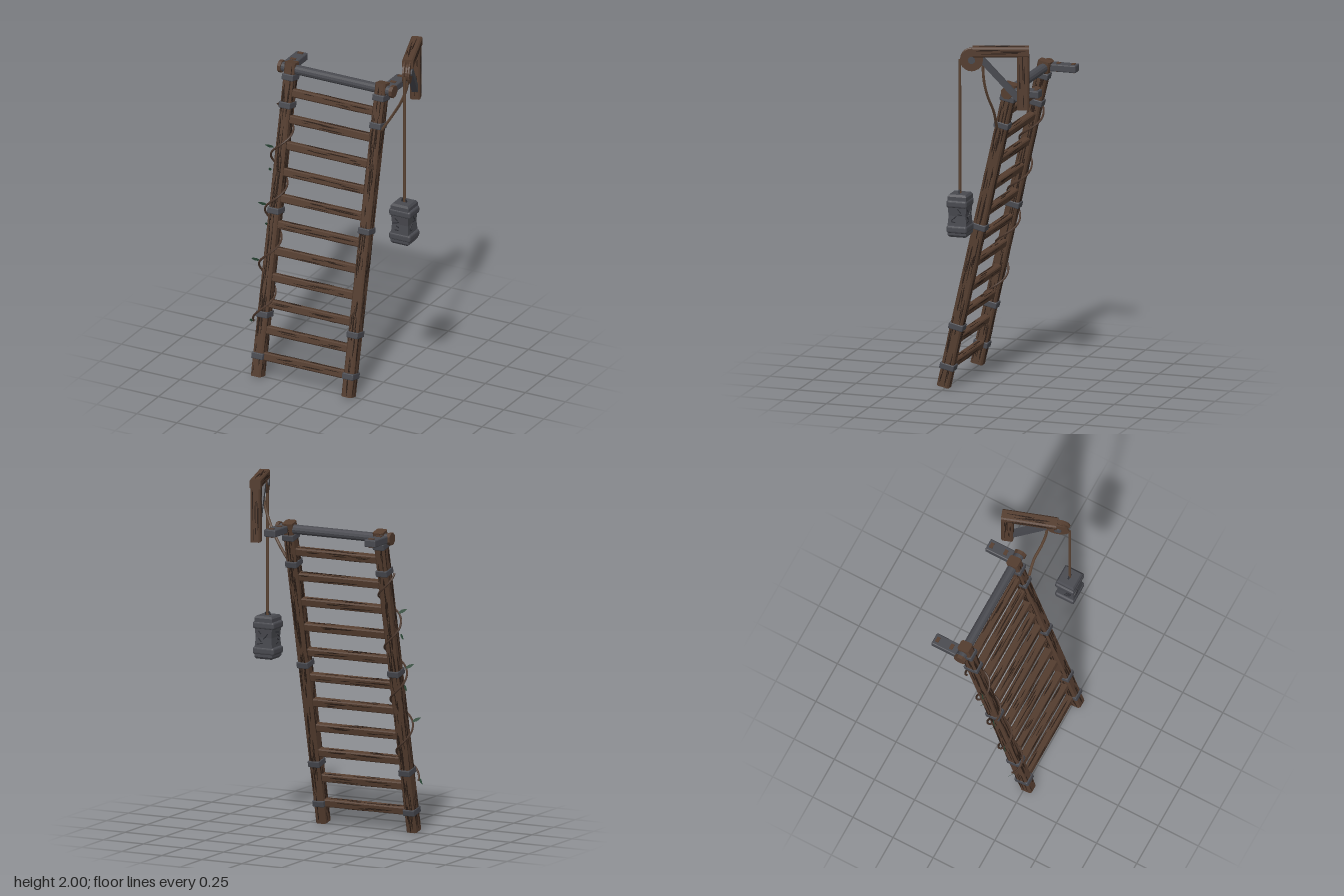
import * as THREE from 'three';
import { mergeGeometries } from 'three/addons/utils/BufferGeometryUtils.js';
import { RoundedBoxGeometry } from 'three/addons/geometries/RoundedBoxGeometry.js';

const mat = (name, color, extra = {}) => {
  const m = new THREE.MeshStandardMaterial({ color, flatShading: true, ...extra });
  m.name = name;
  return m;
};

export function createModel() {
  const wood = mat('wood', 0x543d2f);
  const grainMat = mat('dark grain', 0x2a1d16);
  const iron = mat('iron', 0x48494f);
  const darkIron = mat('dark iron', 0x2b2c31);
  const rope = mat('rope', 0x5a4333);
  const vineMat = mat('vine stem', 0x49352a);
  const leafMat = mat('leaf', 0x2c4a38, { side: THREE.DoubleSide });

  let seed = 7;
  const rnd = () => (seed = (seed * 16807) % 2147483647) / 2147483647;
  const root = new THREE.Group();
  root.name = 'ladderWithHoist';

  const add = (parent, name, geo, material, x = 0, y = 0, z = 0) => {
    const m = new THREE.Mesh(geo, material);
    m.name = name;
    m.position.set(x, y, z);
    parent.add(m);
    return m;
  };

  // Chamfered beam along y, with thin grain streaks on its four long faces
  function beam(parent, name, w, l, d, base, streak, n, x, y, z) {
    const g = new THREE.Group();
    g.name = name;
    g.position.set(x, y, z);
    const c = Math.min(w, d) * 0.14, a = w / 2, b = d / 2;
    const pts = [[a - c, -b], [a, c - b], [a, b - c], [a - c, b], [c - a, b], [-a, b - c], [-a, c - b], [c - a, -b]];
    const body = new THREE.ExtrudeGeometry(new THREE.Shape(pts.map(p => new THREE.Vector2(...p))), { depth: l, bevelEnabled: false });
    body.translate(0, 0, -l / 2).rotateX(-Math.PI / 2);
    add(g, name + 'Body', body, base);
    const marks = [];
    for (let f = 0; f < 4; f++) for (let i = 0; i < n; i++) {
      const across = f % 2 ? d : w, out = f % 2 ? w : d;
      const len = Math.min(l * 0.45, 0.04 + rnd() * 0.14), t = 0.003 + rnd() * 0.005;
      const s = new THREE.CylinderGeometry(0.5, 0.5, 0.003, 6);
      s.rotateX(Math.PI / 2).scale(t, len, 1);
      s.translate((rnd() - 0.5) * (across - 2 * c - t), (rnd() - 0.5) * (l - len), out / 2);
      marks.push(s.rotateY(f * Math.PI / 2));
    }
    if (n) add(g, name + 'Grain', mergeGeometries(marks), streak);
    parent.add(g);
    return g;
  }

  // Leaning ladder, built upright and tilted back
  const tilt = Math.atan(0.227), cosT = Math.cos(tilt);
  const ladder = new THREE.Group();
  ladder.name = 'ladder';
  ladder.position.set(0, 0.008, 0.265);
  ladder.rotation.x = -tilt;
  root.add(ladder);
  const L = 1.785;
  for (const [side, x] of [['right', -0.39], ['left', 0.175]]) {
    beam(ladder, side + 'Rail', 0.062, L, 0.07, wood, grainMat, 60, x, L / 2, 0);
    for (const y of [0.115, 0.345, 0.92, 1.505, 1.66])
      add(ladder, side + 'RailBand', new RoundedBoxGeometry(0.07, 0.036, 0.085, 1, 0.005), iron, x, y / cosT, 0);
  }
  for (let i = 0; i < 11; i++)
    beam(ladder, 'rung', 0.045, 0.51, 0.042, wood, grainMat, 5, -0.1075, (0.115 + i * 0.146) / cosT, 0).rotation.z = Math.PI / 2;

  // Top axle with wooden end caps
  add(root, 'axle', new THREE.CylinderGeometry(0.027, 0.027, 0.69, 12).rotateZ(Math.PI / 2), iron, -0.107, 1.71, -0.125);
  for (const x of [-0.455, 0.241])
    add(root, 'axleCap', new THREE.CylinderGeometry(0.036, 0.036, 0.02, 8).rotateZ(Math.PI / 2).rotateX(Math.PI / 8), wood, x, 1.71, -0.125);

  // Wall brackets with pegs
  for (const x of [-0.42, 0.205]) {
    add(root, 'wallBracket', new RoundedBoxGeometry(0.07, 0.042, 0.15, 1, 0.006), iron, x, 1.71, -0.23);
    for (const z of [-0.282, -0.195])
      add(root, 'bracketPeg', new THREE.BoxGeometry(0.032, 0.05, 0.02), wood, x, 1.71, z);
  }

  // Hoist arm: post, top beam, brace and pulley
  const hoist = new THREE.Group();
  hoist.name = 'hoist';
  hoist.position.set(0.32, 0, -0.245);
  hoist.rotation.y = 0.33;
  root.add(hoist);
  beam(hoist, 'hoistPost', 0.055, 0.34, 0.066, wood, grainMat, 8, 0, 1.815, 0);
  beam(hoist, 'hoistBeam', 0.062, 0.31, 0.056, wood, grainMat, 8, 0, 1.971, 0.122).rotation.x = Math.PI / 2;
  const brace = add(hoist, 'hoistBrace', new THREE.BoxGeometry(0.034, 0.3, 0.034), iron, 0, 1.815, 0.125);
  brace.rotation.x = Math.atan2(0.19, 0.21);
  const wheel = [[0, -0.02], [0.063, -0.02], [0.063, -0.011], [0.05, -0.005], [0.05, 0.005], [0.063, 0.011], [0.063, 0.02], [0, 0.02]];
  add(hoist, 'pulleyWheel', new THREE.LatheGeometry(wheel.map(p => new THREE.Vector2(...p)), 20).rotateZ(Math.PI / 2), wood, 0, 1.927, 0.283);
  add(hoist, 'pulleyHub', new THREE.CylinderGeometry(0.02, 0.02, 0.056, 10).rotateZ(Math.PI / 2), iron, 0, 1.927, 0.283);

  const tube = (parent, name, pts, r, material, n) => add(parent, name,
    new THREE.TubeGeometry(new THREE.CatmullRomCurve3(pts.map(p => new THREE.Vector3(...p))), n, r, 6), material);

  // Rope hanging from the pulley, and its tail tied to the rail
  tube(root, 'hangingRope', [[0.427, 1.15, 0.085], [0.427, 1.5, 0.085], [0.428, 1.93, 0.085]], 0.008, rope, 8);
  tube(root, 'tailRope', [[0.395, 1.93, -0.035], [0.375, 1.8, -0.037], [0.34, 1.71, -0.045], [0.28, 1.61, -0.06], [0.21, 1.5, -0.055]], 0.008, rope, 20);

  // Counterweight: waisted block with two heavy rims
  const weight = new THREE.Group();
  weight.name = 'counterweight';
  weight.position.set(0.425, 1.05, 0.085);
  root.add(weight);
  const block = new THREE.LatheGeometry([[0, -0.12], [0.066, -0.12], [0.078, -0.108], [0.078, -0.07], [0.07, 0], [0.078, 0.07], [0.078, 0.108], [0.066, 0.12], [0, 0.12]]
    .map(p => new THREE.Vector2(...p)), 4).rotateY(Math.PI / 4);
  add(weight, 'weightBlock', block, iron);
  for (const y of [-0.075, 0.068])
    add(weight, 'weightRim', new RoundedBoxGeometry(0.134, 0.042, 0.118, 2, 0.012), iron, 0, y, 0);
  for (let f = 0; f < 4; f++) for (let i = 0; i < 4; i++) {
    const s = add(weight, 'weightCrack', new THREE.BoxGeometry(0.02 + rnd() * 0.025, 0.005, 0.004), darkIron);
    s.rotation.set(0, f * Math.PI / 2, 0);
    s.translateX((rnd() - 0.5) * 0.05).translateY(-0.035 + i * 0.021).translateZ(0.052);
    s.rotateZ(rnd() * 2 - 1);
  }
  add(weight, 'weightTopRing', new THREE.TorusGeometry(0.014, 0.005, 6, 12), darkIron, 0, 0.125, 0);

  // Vine winding around the right rail, with leaves on its outer side
  const coil = [];
  for (let i = 0; i <= 64; i++) {
    const a = -Math.PI / 2 + i / 64 * Math.PI * 8;
    coil.push([-0.398 + Math.sin(a) * 0.055, 0.3 + i / 64 * 1.24, Math.cos(a) * 0.05]);
  }
  tube(ladder, 'vine', coil, 0.006, vineMat, 160);
  const leafShape = new THREE.Shape();
  leafShape.moveTo(0, 0);
  leafShape.quadraticCurveTo(0.018, 0.02, 0, 0.055);
  leafShape.quadraticCurveTo(-0.018, 0.02, 0, 0);
  const leafGeo = new THREE.ShapeGeometry(leafShape, 4);
  [[-0.435, 1.26], [-0.435, 1.14], [-0.44, 0.94], [-0.42, 0.84], [-0.445, 0.63], [-0.45, 0.3]].forEach(([x, y], i) => {
    const leaf = add(ladder, 'leaf', leafGeo, leafMat, x, y / cosT, 0.02);
    leaf.rotation.set(0.5, 0.6 * (i % 2 ? -1 : 1), i % 2 ? 2.2 : 1.0);
  });

  return root;
}
